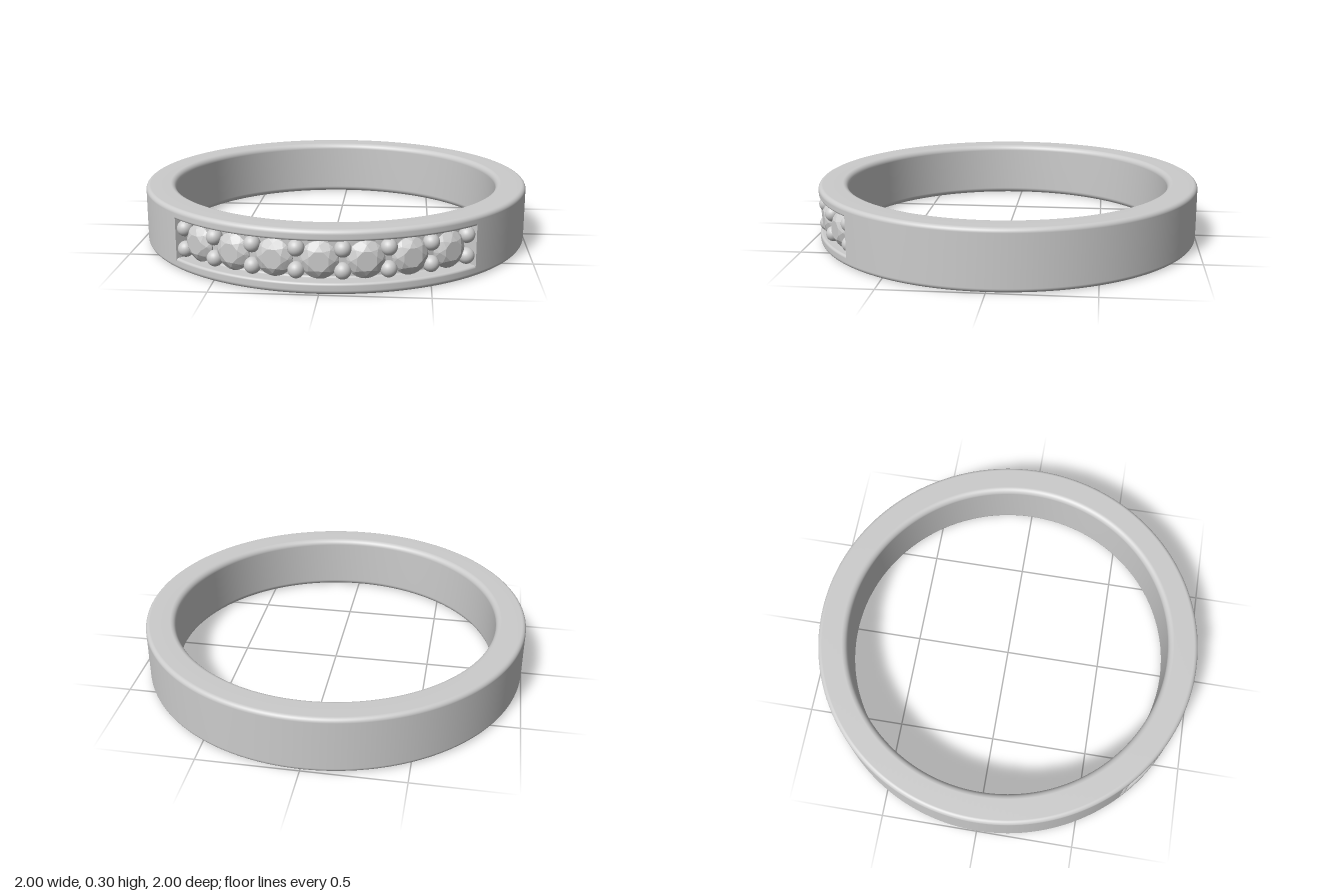
import * as THREE from 'three';
import { ConvexGeometry } from 'three/addons/geometries/ConvexGeometry.js';

const OUTER = 1, INNER = 0.845, HEIGHT = 0.3, MID = 0.151;
const FLOOR = 0.92, GROOVE_LOW = 0.055, GROOVE_HIGH = 0.248;
const GROOVE_HALF = Math.PI / 4;                      // half the angle the groove spans
const STEP = THREE.MathUtils.degToRad(12.4);          // angle between stones
const STONES = 7;

// Rounds the right-angled corners [radius, height, fillet] of a profile
function roundProfile(corners, closed) {
  const n = corners.length, pts = [];
  corners.forEach(([x, y, f], i) => {
    const c = new THREE.Vector2(x, y);
    if (!f || (!closed && (i === 0 || i === n - 1))) { pts.push(c); return; }
    const toward = (k) => new THREE.Vector2(corners[(k + n) % n][0], corners[(k + n) % n][1]).sub(c).normalize();
    const d1 = toward(i - 1), d2 = toward(i + 1);
    const centre = c.clone().addScaledVector(d1, f).addScaledVector(d2, f);
    for (let s = 0; s <= 8; s++) {
      const t = (s / 8) * Math.PI / 2;
      pts.push(centre.clone().addScaledVector(d2, -f * Math.cos(t)).addScaledVector(d1, -f * Math.sin(t)));
    }
  });
  return pts;
}

// Faceted round stone, its table facing +z
function stoneGeometry() {
  const pts = [];
  const ring = (count, r, z, turn) => {
    for (let i = 0; i < count; i++) {
      const a = ((i + turn) / count) * Math.PI * 2;
      pts.push(new THREE.Vector3(Math.cos(a) * r, Math.sin(a) * r, z));
    }
  };
  ring(8, 0.048, 0.033, 0.5);    // table
  ring(8, 0.071, 0.02, 0);       // crown
  ring(24, 0.088, 0.003, 0);     // girdle
  ring(24, 0.088, -0.004, 0);
  ring(8, 0.045, -0.04, 0.5);    // pavilion
  pts.push(new THREE.Vector3(0, 0, -0.07));
  return new ConvexGeometry(pts);
}

export function createModel() {
  const group = new THREE.Group();
  const metal = new THREE.MeshStandardMaterial({ color: 0xcccccc });
  const wallMetal = new THREE.MeshStandardMaterial({ color: 0xcccccc, side: THREE.DoubleSide });
  const facet = new THREE.MeshStandardMaterial({ color: 0xcccccc, flatShading: true });

  const add = (name, geometry, material) => {
    const mesh = new THREE.Mesh(geometry, material);
    mesh.name = name;
    group.add(mesh);
    return mesh;
  };

  // Band: a plain sweep round the back and a grooved sweep across the front
  const lower = [[INNER, HEIGHT / 2, 0], [INNER, 0, 0.03], [OUTER, 0, 0.022]];
  const upper = [[OUTER, HEIGHT, 0.022], [INNER, HEIGHT, 0.03], [INNER, HEIGHT / 2, 0]];
  const groove = [
    [OUTER, GROOVE_LOW, 0.012], [FLOOR, GROOVE_LOW, 0.01],
    [FLOOR, GROOVE_HIGH, 0.01], [OUTER, GROOVE_HIGH, 0.012],
  ];
  const plainProfile = roundProfile([...lower, ...upper], false);
  const groovedProfile = roundProfile([...lower, ...groove, ...upper], false);
  add('bandBack', new THREE.LatheGeometry(plainProfile, 144, GROOVE_HALF, Math.PI * 2 - 2 * GROOVE_HALF), metal);
  add('bandFront', new THREE.LatheGeometry(groovedProfile, 64, -GROOVE_HALF, 2 * GROOVE_HALF), metal);

  // Walls closing the two ends of the groove
  const section = groovedProfile.slice(19, -19);
  for (const side of [-1, 1]) {
    const wall = add(side > 0 ? 'grooveEndLeft' : 'grooveEndRight',
      new THREE.ShapeGeometry(new THREE.Shape(section)), wallMetal);
    wall.rotation.y = side * GROOVE_HALF - Math.PI / 2;
  }

  // Places a part in the groove at an angle from the front
  const place = (mesh, angle, radius, y) => {
    mesh.position.set(Math.sin(angle) * radius, y, Math.cos(angle) * radius);
    mesh.rotation.y = angle;
  };

  // Row of stones
  const stone = stoneGeometry();
  for (let i = 0; i < STONES; i++) {
    place(add('stone', stone, facet), (i - (STONES - 1) / 2) * STEP, 0.957, MID);
  }

  // Pairs of holding beads between the stones and at both ends
  const bead = new THREE.SphereGeometry(0.039, 24, 16);
  for (let i = 0; i <= STONES; i++) {
    for (const side of [-1, 1]) {
      place(add('bead', bead, metal), (i - STONES / 2) * STEP, 0.962, MID + 0.002 + side * 0.051);
    }
  }
  return group;
}
